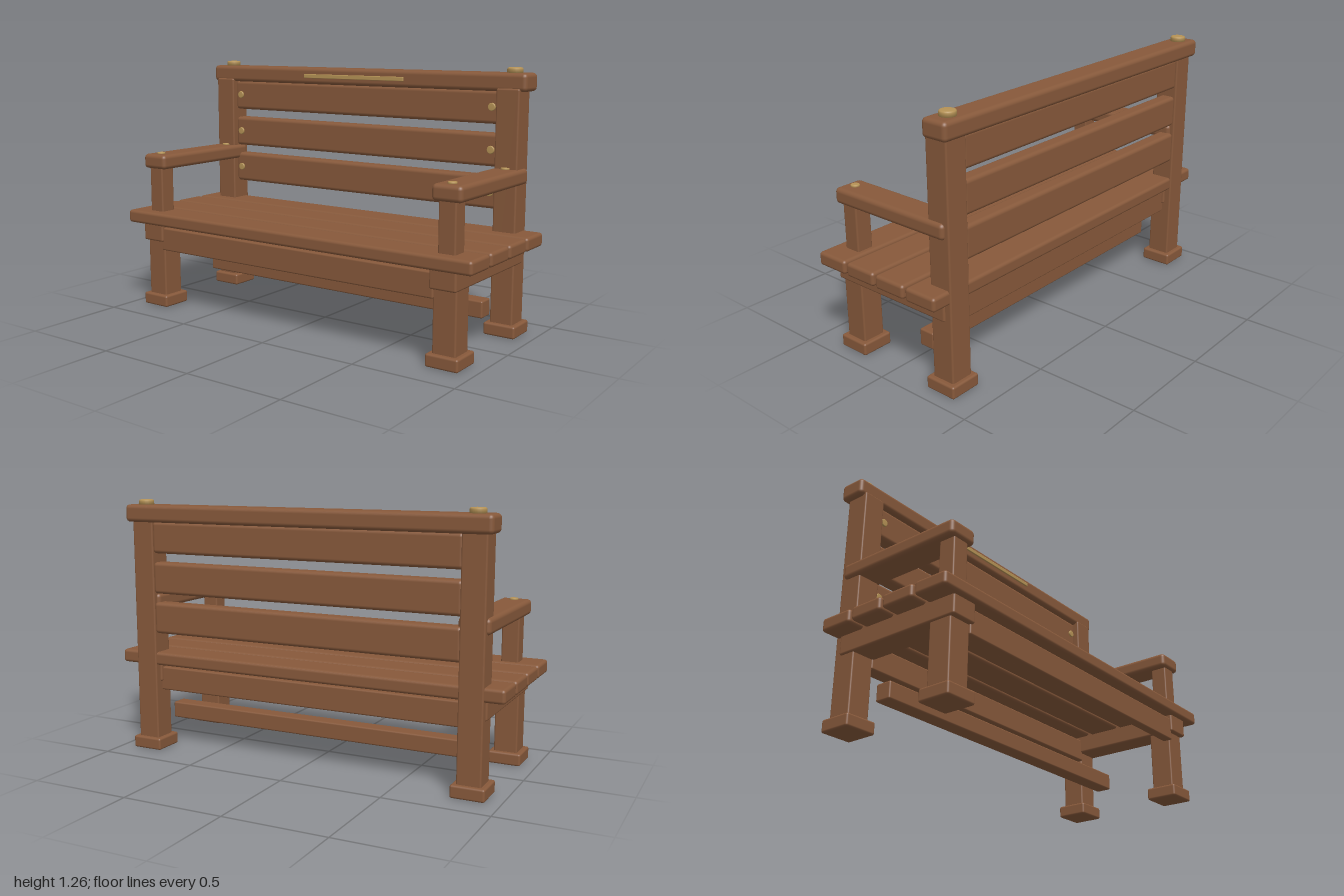
import * as THREE from 'three';
import { RoundedBoxGeometry } from 'three/addons/geometries/RoundedBoxGeometry.js';

export function createModel() {
  const bench = new THREE.Group();
  bench.name = 'gardenBench';

  const wood = new THREE.MeshStandardMaterial({ color: 0x87593b });
  wood.name = 'brown wood';
  const brass = new THREE.MeshStandardMaterial({ color: 0xb69356 });
  brass.name = 'brass';

  // Rounded timber given by its x, y and z ranges
  function timber(name, [x0, x1], [y0, y1], [z0, z1], radius = 0.008, material = wood) {
    const geometry = new RoundedBoxGeometry(x1 - x0, y1 - y0, z1 - z0, 3, radius);
    const mesh = new THREE.Mesh(geometry, material);
    mesh.name = name;
    mesh.position.set((x0 + x1) / 2, (y0 + y1) / 2, (z0 + z1) / 2);
    bench.add(mesh);
  }

  // Timber centred on a given x
  const post = (name, x, width, y, z, radius) =>
    timber(name, [x - width / 2, x + width / 2], y, z, radius);

  // Round brass stud with a softened rim; faces up, or forward when asked
  function stud(name, x, y, z, radius, height, forward = false) {
    const rim = height * 0.25;
    const profile = [
      [0, -height / 2], [radius, -height / 2], [radius, height / 2 - rim],
      [radius - rim * 0.3, height / 2 - rim * 0.3], [radius - rim, height / 2], [0, height / 2],
    ].map(([r, h]) => new THREE.Vector2(r, h));
    const mesh = new THREE.Mesh(new THREE.LatheGeometry(profile, 24), brass);
    mesh.name = name;
    mesh.position.set(x, y, z);
    if (forward) mesh.rotation.x = Math.PI / 2;
    bench.add(mesh);
  }

  // End frames, mirrored
  for (const side of [-1, 1]) {
    const label = side > 0 ? 'left' : 'right';
    const x = side * 0.85;
    post(label + 'FrontLeg', x, 0.115, [0.03, 0.40], [0.208, 0.323]);
    post(label + 'BackPost', x, 0.115, [0.03, 1.165], [-0.351, -0.235]);
    post(label + 'FrontFoot', x, 0.16, [0, 0.06], [0.186, 0.345], 0.01);
    post(label + 'BackFoot', x, 0.16, [0, 0.06], [-0.372, -0.213], 0.01);
    post(label + 'SeatRail', x, 0.131, [0.347, 0.455], [-0.318, 0.347], 0.01);
    post(label + 'ArmPost', x, 0.085, [0.45, 0.74], [0.231, 0.315]);
    post(label + 'Armrest', x, 0.147, [0.722, 0.796], [-0.33, 0.329], 0.02);

    stud(label + 'PostCap', x, 1.244, -0.31, 0.037, 0.03);
    for (const z of [0.273, -0.235]) stud(label + 'ArmStud', x, 0.796, z, 0.021, 0.016);
    for (const y of [0.677, 0.877, 1.077])
      stud(label + 'BackSlatStud', side * 0.76, y, -0.264, 0.019, 0.014, true);
  }

  // Seat slats
  for (let i = 0; i < 4; i++) {
    const z = 0.289 - i * 0.183;
    timber('seatSlat', [-1, 1], [0.435, 0.5], [z - 0.085, z + 0.085], 0.015);
  }

  // Backrest slats and top rail
  for (const y of [0.675, 0.875, 1.075])
    timber('backSlat', [-0.8, 0.8], [y - 0.078, y + 0.078], [-0.344, -0.266], 0.018);
  timber('topRail', [-0.936, 0.936], [1.15, 1.235], [-0.375, -0.243], 0.02);

  // Aprons below the seat and the low stretcher
  timber('frontApron', [-0.8, 0.8], [0.302, 0.42], [0.285, 0.335]);
  timber('backApron', [-0.8, 0.8], [0.302, 0.42], [-0.305, -0.23]);
  timber('stretcher', [-0.83, 0.83], [0.118, 0.2], [-0.159, -0.077]);

  // Brass strip on the top rail
  timber('brassStrip', [-0.3, 0.3], [1.182, 1.203], [-0.238, -0.228], 0.003, brass);

  return bench;
}
